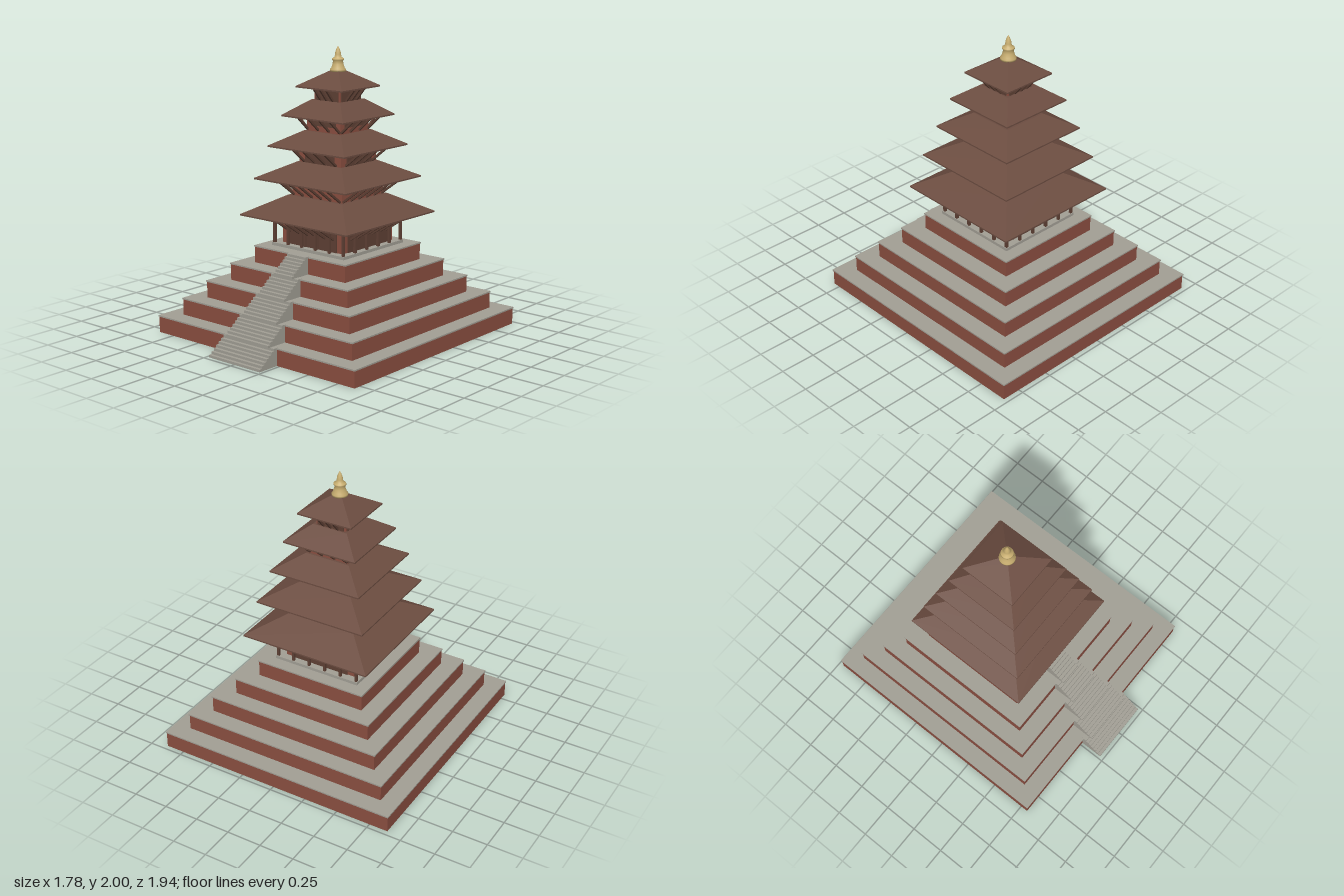
import * as THREE from 'three';

const mat = (name, color) => {
  const m = new THREE.MeshStandardMaterial({ color });
  m.name = name;
  return m;
};

export function createModel() {
  const brick = mat('brick', 0x8a4e40);
  const stone = mat('stone', 0xa19e94);
  const tile = mat('roofTile', 0x6b4c40);
  const wood = mat('wood', 0x5e4034);
  const gold = mat('gold', 0xc8ae70);

  const model = new THREE.Group();
  model.name = 'tieredTemple';
  const temple = new THREE.Group();
  temple.name = 'temple';
  temple.position.z = -0.08;
  model.add(temple);

  const add = (parent, name, geo, material, x = 0, y = 0, z = 0) => {
    const mesh = new THREE.Mesh(geo, material);
    mesh.name = name;
    mesh.position.set(x, y, z);
    parent.add(mesh);
    return mesh;
  };
  // Square block of given half width between two heights
  const block = (name, half, y0, y1, material) =>
    add(temple, name, new THREE.BoxGeometry(half * 2, y1 - y0, half * 2), material, 0, (y0 + y1) / 2, 0);
  // Square frustum with flat faces
  const frustum = (bottom, top, h) => {
    const g = new THREE.CylinderGeometry(top * Math.SQRT2, bottom * Math.SQRT2, h, 4, 1, false, Math.PI / 4).toNonIndexed();
    g.computeVertexNormals();
    return g;
  };
  // Four copies of a facade, one turned to each side
  const fourSides = (name, build) => {
    for (let i = 0; i < 4; i++) {
      const side = new THREE.Group();
      side.name = name;
      side.rotation.y = (i * Math.PI) / 2;
      build(side, i);
      temple.add(side);
    }
  };
  // Straight square beam between two points
  const beam = (parent, name, a, b, size) => {
    const mesh = add(parent, name, new THREE.BoxGeometry(size, size, a.distanceTo(b)), wood);
    mesh.position.copy(a).lerp(b, 0.5);
    mesh.rotation.x = -Math.atan2(b.y - a.y, b.z - a.z);
  };

  // Stepped platform with stone copings and a flight of stairs on each level
  const levels = [0, 0.123, 0.245, 0.368, 0.491, 0.614];
  const steps = 7;
  for (let i = 0; i < 5; i++) {
    const half = 0.885 - i * 0.119;
    const y0 = levels[i], y1 = levels[i + 1];
    block('platform', half, y0, y1 - 0.01, brick);
    block('coping', half + 0.005, y1 - 0.01, y1, stone);

    const run = 0.16 / steps, rise = (y1 - y0) / steps;
    const profile = new THREE.Shape();
    profile.moveTo(half - 0.01, y0);
    profile.lineTo(half + 0.165, y0);
    for (let s = 0; s < steps; s++) {
      const z = half + 0.165 - s * run;
      profile.lineTo(z, y0 + (s + 1) * rise);
      profile.lineTo(s === steps - 1 ? half - 0.01 : z - run, y0 + (s + 1) * rise + (s === steps - 1 ? 0.001 : 0));
    }
    profile.closePath();
    const width = 0.46 - i * 0.073;
    const geo = new THREE.ExtrudeGeometry(profile, { depth: width, bevelEnabled: false });
    geo.translate(0, 0, -width / 2);
    geo.rotateY(-Math.PI / 2);
    add(temple, 'stairs', geo, stone);
  }
  block('plinth', 0.325, 0.614, 0.635, stone);

  // Storeys: wall, timber panel, slanted struts and roof
  const storeys = [
    { wall: 0.27, y: 0.635, strut: 0.72, eave: 0.828, roof: 0.48, top: 0.245, peak: 0.97, n: 6, gap: 0.078, panel: [0.22, 0.635, 0.82] },
    { wall: 0.222, y: 0.96, strut: 0.975, eave: 1.082, roof: 0.41, top: 0.195, peak: 1.205, n: 6, gap: 0.083, panel: [0.17, 1.03, 1.08] },
    { wall: 0.187, y: 1.195, strut: 1.21, eave: 1.307, roof: 0.342, top: 0.165, peak: 1.42, n: 4, gap: 0.095, panel: [0.13, 1.2, 1.3] },
    { wall: 0.15, y: 1.41, strut: 1.43, eave: 1.518, roof: 0.275, top: 0.13, peak: 1.633, n: 4, gap: 0.095, panel: [0.11, 1.46, 1.515] },
    { wall: 0.113, y: 1.62, strut: 1.63, eave: 1.716, roof: 0.205, top: 0.03, peak: 1.835, n: 3, gap: 0.055, panel: [0.1, 1.625, 1.71] },
  ];
  for (const s of storeys) {
    block('wall', s.wall, s.y, s.eave + 0.002, brick);
    const slab = 0.01;
    block('eave', s.roof, s.eave, s.eave + slab, tile);
    const h = s.peak - s.eave - slab;
    add(temple, 'roof', frustum(s.roof, s.top, h), tile, 0, s.eave + slab + h / 2, 0);

    fourSides('facade', (side) => {
      const [w, p0, p1] = s.panel;
      add(side, 'timberPanel', new THREE.BoxGeometry(w * 2, p1 - p0, 0.008), wood, 0, (p0 + p1) / 2, s.wall + 0.003);
      const reach = s.wall + (s.roof - s.wall) * 0.78;
      for (let k = 0; k < s.n; k++) {
        const x = (k - (s.n - 1) / 2) * s.gap;
        beam(side, 'strut', new THREE.Vector3(x, s.strut, s.wall), new THREE.Vector3(x, s.eave, reach), 0.014);
      }
    });
  }

  // Ground floor colonnade with a lintel, and door frames
  fourSides('colonnade', (side, i) => {
    for (let k = 0; k < 5; k++) {
      add(side, 'column', new THREE.BoxGeometry(0.018, 0.18, 0.018), wood, -0.31 + k * 0.124, 0.725, 0.31);
    }
    add(side, 'lintel', new THREE.BoxGeometry(0.638, 0.016, 0.022), wood, 0, 0.82, 0.31);
    if (i === 0) {
      for (const x of [-0.055, 0.055]) {
        add(side, 'doorPost', new THREE.BoxGeometry(0.014, 0.155, 0.02), wood, x, 0.7125, 0.275);
      }
      add(side, 'doorHead', new THREE.BoxGeometry(0.124, 0.014, 0.022), wood, 0, 0.79, 0.275);
    }
  });

  // Gilded finial
  const profile = [
    [0, 1.825], [0.055, 1.825], [0.055, 1.838], [0.046, 1.85], [0.038, 1.875], [0.034, 1.895],
    [0.043, 1.903], [0.041, 1.912], [0.024, 1.922], [0.021, 1.94], [0.018, 1.96], [0.009, 1.982], [0, 2],
  ].map(([r, y]) => new THREE.Vector2(r, y));
  add(temple, 'finial', new THREE.LatheGeometry(profile, 20), gold);

  return model;
}
